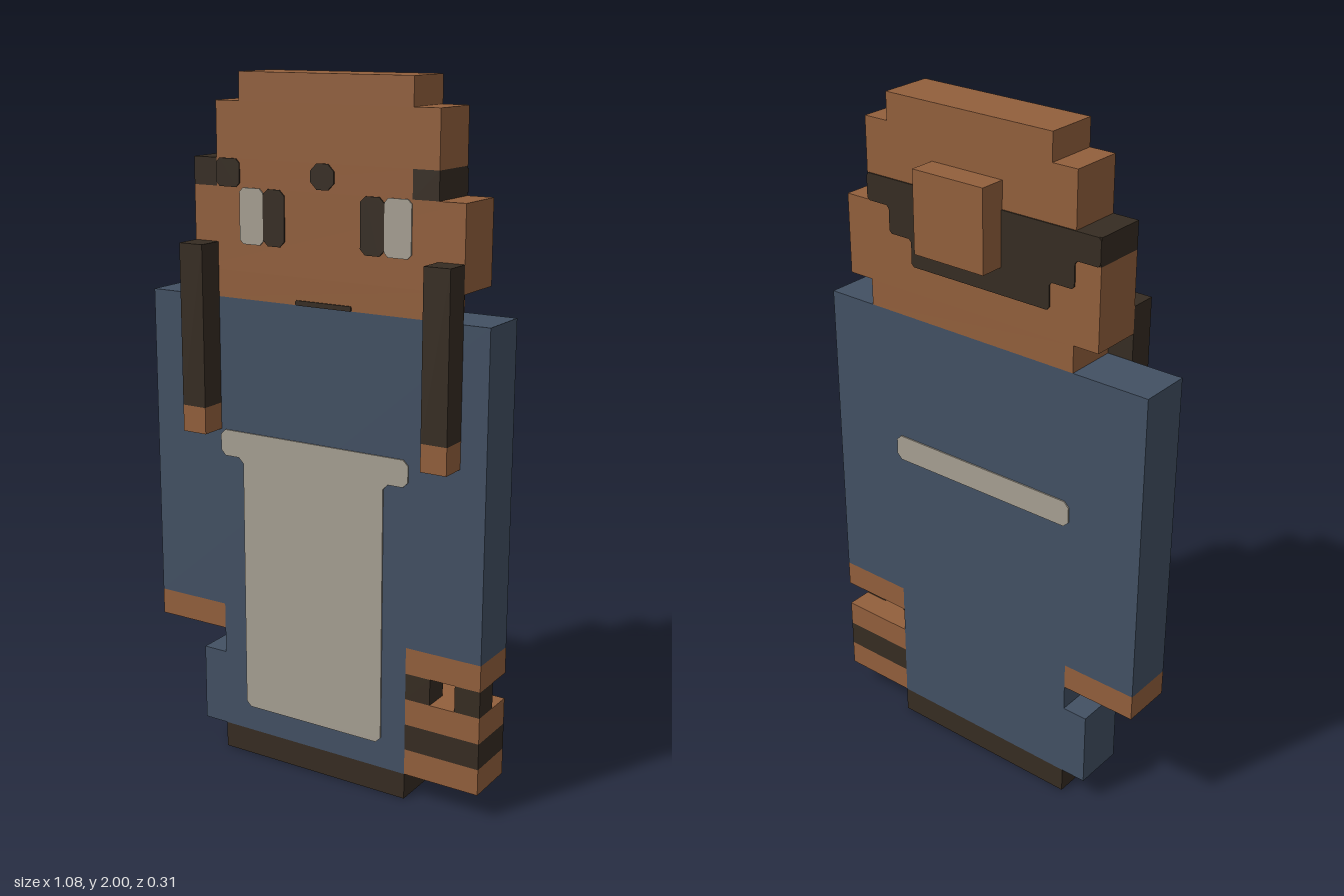
import * as THREE from 'three';

const U = 2 / 26; // size of one block

export function createModel() {
  const model = new THREE.Group();
  const material = (name, color) => {
    const m = new THREE.MeshStandardMaterial({ color });
    m.name = name;
    return m;
  };
  const skin = material('warm brown', 0x925f3c);
  const robe = material('slate blue', 0x425063);
  const dark = material('dark brown', 0x362c22);
  const pale = material('pale cloth', 0xa69f92);

  const add = (name, geometry, mat, parent = model) => {
    const mesh = new THREE.Mesh(geometry, mat);
    mesh.name = name;
    parent.add(mesh);
    return mesh;
  };

  // Box between two block coordinates on each axis
  const block = (name, mat, x0, x1, y0, y1, z0 = -1, z1 = 1, parent = model) => {
    const g = new THREE.BoxGeometry((x1 - x0) * U, (y1 - y0) * U, (z1 - z0) * U);
    g.translate((x0 + x1) * U / 2, (y0 + y1) * U / 2, (z0 + z1) * U / 2);
    return add(name, g, mat, parent);
  };

  // Thin painted plate with slightly cut corners, on the front or the back
  const plate = (name, mat, corners, back = false, cut = 0.2, parent = model) => {
    const points = [];
    const n = corners.length;
    corners.forEach((c, i) => {
      const p = new THREE.Vector2(...c);
      for (const other of [corners[(i + n - 1) % n], corners[(i + 1) % n]]) {
        const dir = new THREE.Vector2(...other).sub(p).normalize();
        points.push(p.clone().addScaledVector(dir, cut).multiplyScalar(U));
      }
    });
    const g = new THREE.ExtrudeGeometry(new THREE.Shape(points), { depth: 0.004, bevelEnabled: false });
    g.translate(0, 0, back ? -U - 0.004 : U);
    return add(name, g, mat, parent);
  };
  const rect = (x0, x1, y0, y1) => [[x0, y0], [x1, y0], [x1, y1], [x0, y1]];

  // Robe and feet
  block('feet', dark, -4, 4, 0, 1);
  block('robeSkirt', robe, -4, 4, 1, 6);
  block('robeHemFlare', robe, -5, -4, 1, 4);
  block('robeTorsoAndSleeves', robe, -7, 7, 6, 18);
  block('rightHand', skin, -7, -4, 5, 6);
  block('leftHand', skin, 4, 7, 5, 6);

  // Apron and its tie at the back
  plate('apron', pale, [[-3, 2], [3, 2], [3, 12], [4, 12], [4, 13], [-4, 13], [-4, 12], [-3, 12]]);
  plate('apronTie', pale, rect(-4, 4, 12, 13), true);

  // Basket hanging from the left hand
  const basket = new THREE.Group();
  basket.name = 'basket';
  model.add(basket);
  [skin, dark, skin].forEach((m, i) => block('basketBand', m, 4, 7, 1 + i, 2 + i, -1, 1, basket));
  for (const x of [4, 6]) block('basketHandle', dark, x, x + 1, 4, 5, 0, 1, basket);

  // Head, stacked in rows
  const head = new THREE.Group();
  head.name = 'head';
  model.add(head);
  block('chin', skin, -4, 5, 18, 19, -1, 1, head);
  block('faceAndEars', skin, -5, 6, 19, 22, -1, 1, head);
  block('brow', skin, -4, 4, 22, 23, -1, 1, head);
  block('crown', skin, -4, 5, 23, 25, -1, 1, head);
  block('crownTop', skin, -3, 4, 25, 26, -1, 1, head);

  // Hair band, bun and braids
  block('rightHairBand', dark, -5, -4, 22, 23, -1, 1, head);
  block('leftHairBand', dark, 4, 5, 22, 23, -1, 1, head);
  plate('frontHairPatch', dark, rect(-4, -3, 22, 23), false, 0.15, head);
  plate('backHair', dark, [[-5, 22], [-4, 22], [-4, 21], [-3, 21], [-3, 20], [3, 20],
    [3, 21], [4, 21], [4, 22], [5, 22], [5, 23], [-5, 23]], true, 0.1, head);
  block('bun', skin, -1, 2, 21, 24, -2, -1, head);
  for (const x of [-5, 5]) {
    block('braid', dark, x, x + 1, 14, 20, 1, 2);
    block('braidTip', skin, x, x + 1, 13, 14, 1, 2);
  }

  // Face
  plate('rightEyeWhite', pale, rect(-3, -2, 20, 22), false, 0.15, head);
  plate('rightPupil', dark, rect(-2, -1.1, 20, 22), false, 0.2, head);
  plate('leftPupil', dark, rect(2, 2.95, 20, 22), false, 0.2, head);
  plate('leftEyeWhite', pale, rect(2.95, 4, 20, 22), false, 0.15, head);
  plate('foreheadDot', dark, rect(0, 0.95, 22.1, 23), false, 0.25, head);
  plate('mouth', dark, rect(-0.65, 1.65, 18, 18.18), false, 0.04, head);

  return model;
}
